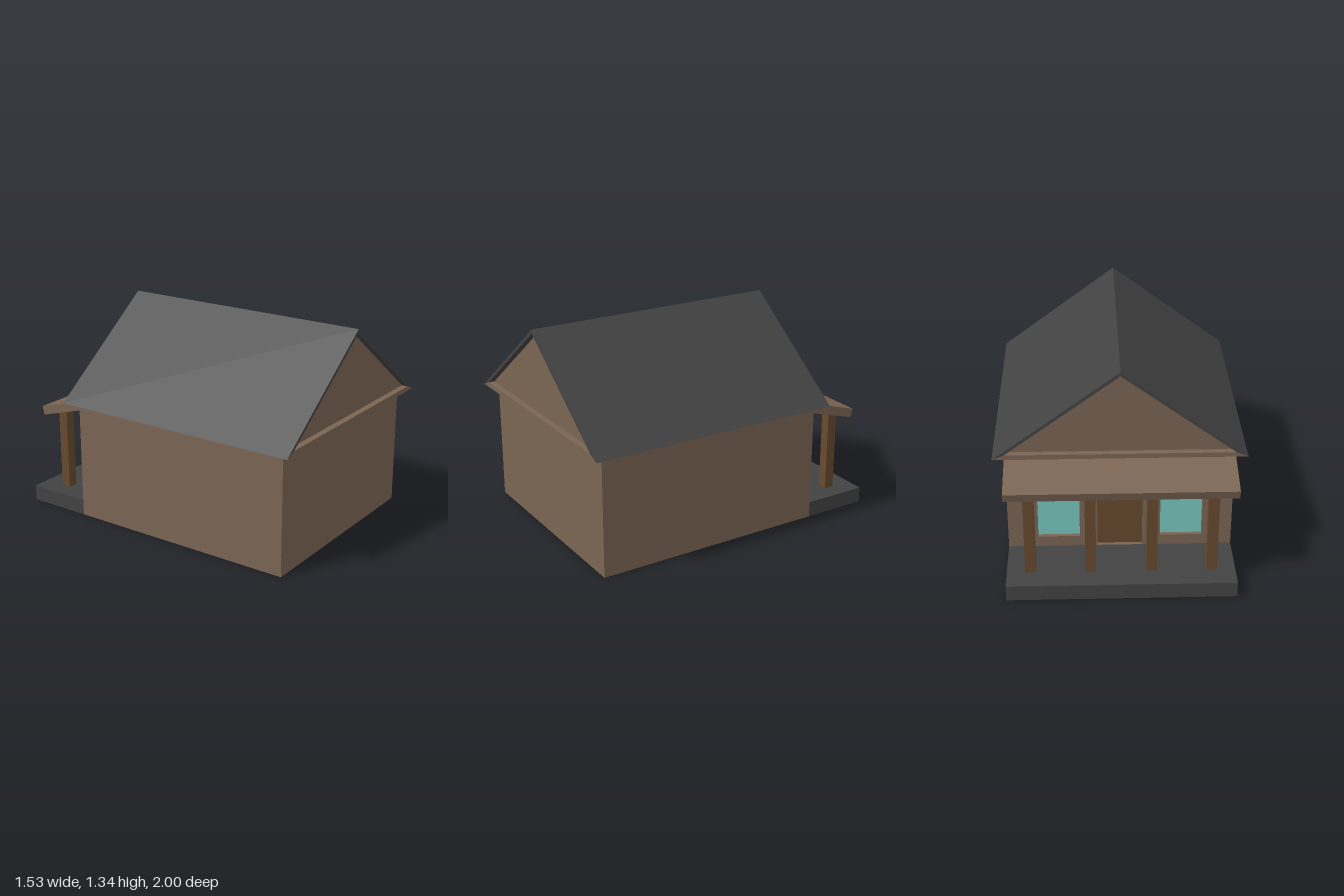
import * as THREE from 'three';

const mat = (color) => new THREE.MeshStandardMaterial({ color, flatShading: true });

const shapeOf = (pts) => new THREE.Shape(pts.map(([x, y]) => new THREE.Vector2(x, y)));

// Profile in x/y, extruded from z0 to z1
function prism(shape, z0, z1) {
  const g = new THREE.ExtrudeGeometry(shape, { depth: z1 - z0, bevelEnabled: false });
  return g.translate(0, 0, z0);
}

// Box given by its minimum and maximum corners
function box(x0, x1, y0, y1, z0, z1) {
  const g = new THREE.BoxGeometry(x1 - x0, y1 - y0, z1 - z0);
  return g.translate((x0 + x1) / 2, (y0 + y1) / 2, (z0 + z1) / 2);
}

export function createModel() {
  const house = new THREE.Group();
  house.name = 'house';
  const wall = mat(0x7a6453), roofGrey = mat(0x424242), timber = mat(0x66492f), glass = mat(0x78c8c0);
  const add = (name, geometry, material) => {
    const m = new THREE.Mesh(geometry, material);
    m.name = name;
    house.add(m);
  };

  const W = 0.695, back = -0.58, inner = -0.55, eave = 0.77;
  const roofBack = -0.65, roofFront = 1;

  // Main walls
  add('mainWalls', box(-W, W, 0, eave, inner, 0.93), wall);

  // Entrance wall with openings for the door and two windows
  const openings = [
    { name: 'leftWindow', x0: 0.25, x1: 0.51, y0: 0.17, y1: 0.6, material: glass },
    { name: 'rightWindow', x0: -0.51, x1: -0.25, y0: 0.17, y1: 0.6, material: glass },
    { name: 'door', x0: -0.14, x1: 0.14, y0: 0.1, y1: 0.51, material: timber },
  ];
  const entrance = shapeOf([[-W, 0], [W, 0], [W, eave], [-W, eave]]);
  for (const o of openings) {
    entrance.holes.push(shapeOf([[o.x0, o.y0], [o.x0, o.y1], [o.x1, o.y1], [o.x1, o.y0]]));
    add(o.name, box(o.x0, o.x1, o.y0, o.y1, inner - 0.005, inner + 0.005), o.material);
  }
  add('entranceWall', prism(entrance, back, inner), wall);

  // Eaves board, set-back gables and the pitched roof shell
  const tip = 0.767, ledge = 0.8, ridge = 1.34, innerRidge = 1.315, setBack = 0.04;
  add('eavesBoard', prism(shapeOf([[-tip, eave], [tip, eave], [W, ledge], [-W, ledge]]),
    roofBack, roofFront), wall);
  add('gables', prism(shapeOf([[-W, ledge], [W, ledge], [0, innerRidge]]),
    roofBack + setBack, roofFront - setBack), wall);
  add('roof', prism(shapeOf([[tip, eave], [0, ridge], [-tip, eave], [-W, ledge], [0, innerRidge], [W, ledge]]),
    roofBack, roofFront), roofGrey);

  // Porch floor
  add('porchFloor', box(-W, W, 0, 0.1, -1, back), roofGrey);

  // Sloping porch roof: z/y profile swept across the width
  const porch = prism(shapeOf([[back, 0.715], [back, 0.778], [-0.9, 0.68], [-0.885, 0.625]]), -W, W);
  add('porchRoof', porch.rotateY(-Math.PI / 2), wall);

  // Porch posts
  for (const x of [-0.55, -0.185, 0.185, 0.55]) {
    add('porchPost', box(x - 0.032, x + 0.032, 0.1, 0.645, -0.862, -0.798), timber);
  }
  return house;
}
